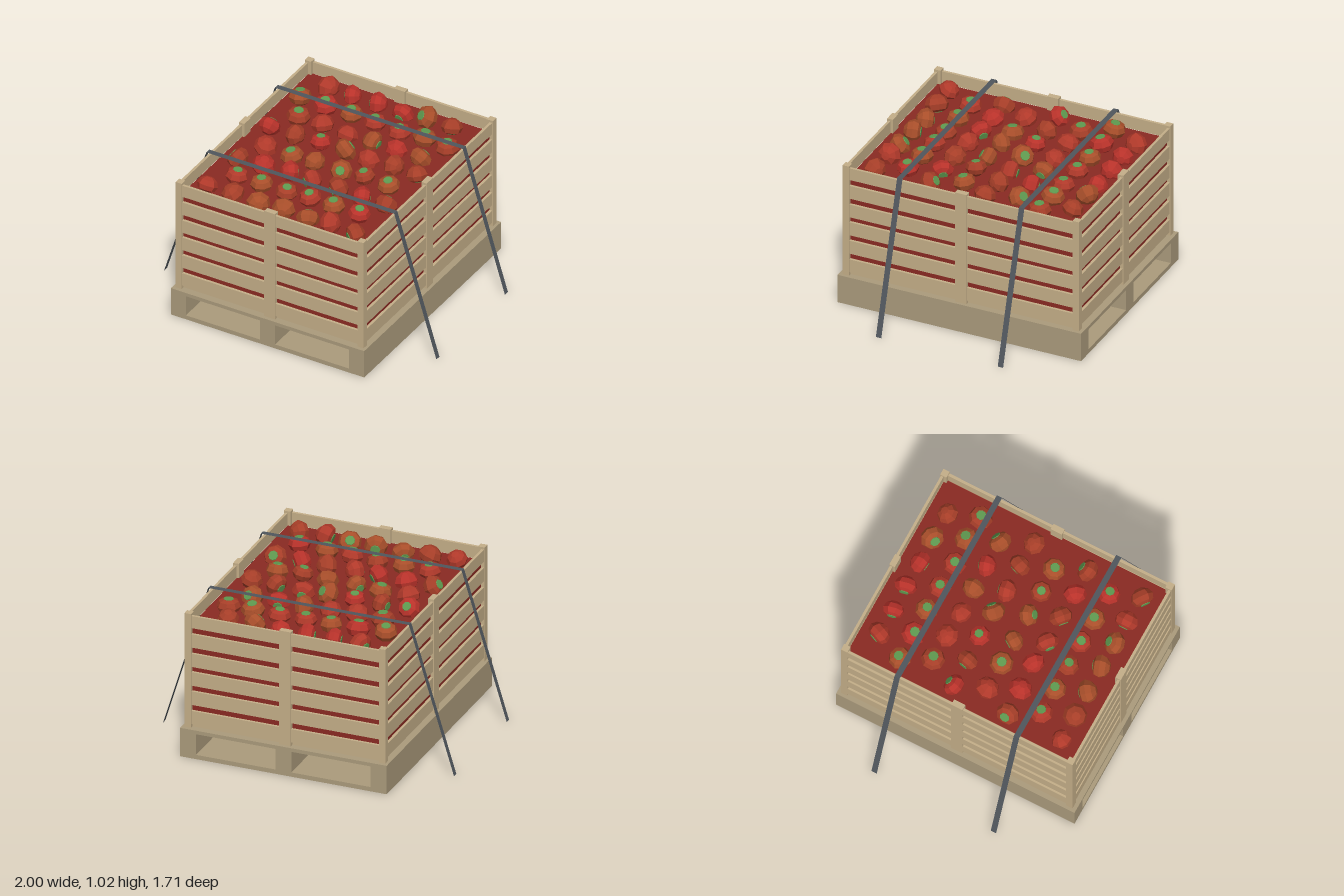
import * as THREE from 'three';

const mat = (color, extra = {}) => {
  const m = new THREE.MeshStandardMaterial({ color, ...extra });
  return m;
};
const wood = mat(0xc4ae88);
const palletWood = mat(0xab9b7c);
const fillRed = mat(0x8a2a22);
const green = mat(0x5f9a50, { flatShading: true });
const strapGrey = mat(0x50565c, { side: THREE.DoubleSide });
const skins = [0xb0392a, 0xb8322a, 0xa63e28, 0xa84e2a].map(c => mat(c, { flatShading: true }));

const HX = 0.69, HZ = 0.83; // outer half sizes of the crate

function box(parent, name, material, w, h, d, x, y, z) {
  const mesh = new THREE.Mesh(new THREE.BoxGeometry(w, h, d), material);
  mesh.position.set(x, y, z);
  mesh.name = name;
  parent.add(mesh);
  return mesh;
}

function rect(path, x0, y0, x1, y1) {
  path.moveTo(x0, y0);
  path.lineTo(x1, y0);
  path.lineTo(x1, y1);
  path.lineTo(x0, y1);
  path.closePath();
  return path;
}

// Pallet: solid base with two fork tunnels running front to back
function makePallet() {
  const shape = rect(new THREE.Shape(), -0.71, 0, 0.71, 0.2);
  shape.holes.push(rect(new THREE.Path(), -0.6, 0.03, -0.055, 0.175));
  shape.holes.push(rect(new THREE.Path(), 0.055, 0.03, 0.6, 0.175));
  const geo = new THREE.ExtrudeGeometry(shape, { depth: 1.71, bevelEnabled: false });
  geo.translate(0, 0, -0.855);
  const mesh = new THREE.Mesh(geo, palletWood);
  mesh.name = 'pallet';
  return mesh;
}

// Crate: posts, slatted walls and a floor
function makeCrate() {
  const crate = new THREE.Group();
  crate.name = 'crate';
  const slats = [[0.225, 0.318], [0.36, 0.455], [0.495, 0.59], [0.627, 0.72], [0.763, 0.857], [0.9, 0.985]];
  for (const s of [-1, 1]) {
    for (const [y0, y1] of slats) {
      const y = (y0 + y1) / 2, h = y1 - y0;
      box(crate, 'endSlat', wood, 2 * HX - 0.02, h, 0.018, 0, y, s * (HZ - 0.014));
      box(crate, 'sideSlat', wood, 0.018, h, 2 * HZ - 0.02, s * (HX - 0.014), y, 0);
    }
    for (const t of [-1, 1])
      box(crate, 'cornerPost', wood, 0.045, 0.8, 0.045, s * (HX - 0.0225), 0.6, t * (HZ - 0.0225));
    box(crate, 'endPost', wood, 0.08, 0.8, 0.04, 0, 0.6, s * (HZ - 0.02));
    box(crate, 'sidePost', wood, 0.04, 0.8, 0.08, s * (HX - 0.02), 0.6, 0);
  }
  box(crate, 'crateFloor', wood, 1.33, 0.025, 1.61, 0, 0.2125, 0);
  return crate;
}

// Fruit: squat eight-sided body with a green cap set on its upper end
const v = (x, y) => new THREE.Vector2(x, y);
const bodyGeo = new THREE.LatheGeometry(
  [v(0, -0.054), v(0.026, -0.052), v(0.058, -0.03), v(0.073, 0.004), v(0.06, 0.036), v(0.034, 0.048), v(0, 0.048)], 8);
const capGeo = new THREE.CylinderGeometry(0.029, 0.032, 0.006, 8);

function makeFruit(skin) {
  const fruit = new THREE.Group();
  fruit.name = 'fruit';
  const body = new THREE.Mesh(bodyGeo, skin);
  body.name = 'fruitBody';
  const cap = new THREE.Mesh(capGeo, green);
  cap.name = 'fruitCap';
  cap.position.y = 0.049;
  fruit.add(body, cap);
  return fruit;
}

// Contents: a solid fill topped by staggered rows of fruit
function makeContents() {
  const contents = new THREE.Group();
  contents.name = 'contents';
  box(contents, 'fill', fillRed, 1.33, 0.675, 1.61, 0, 0.5625, 0);
  let seed = 11;
  const rnd = () => (seed = (seed * 16807) % 2147483647) / 2147483647;
  // u upright, t tilted, s lying on its side, d upside down
  const rows = ['sssstd', 'uuuuuuu', 'uddsst', 'tsutssd', 'dustuu', 'tdsssst', 'uuuuuu', 'ddsstss'];
  const tilts = { u: 0.12, t: 1.0, s: 1.75, d: 2.7 };
  rows.forEach((row, r) => {
    [...row].forEach((kind, i) => {
      const fruit = makeFruit(skins[Math.floor(rnd() * skins.length)]);
      const tilt = tilts[kind] + (rnd() - 0.5) * 0.25;
      const turn = rnd() * Math.PI * 2;
      const axis = new THREE.Vector3(Math.cos(turn), 0, Math.sin(turn));
      fruit.quaternion.setFromAxisAngle(axis, tilt);
      fruit.rotateY(rnd() * Math.PI);
      fruit.scale.setScalar(0.95 + rnd() * 0.15);
      fruit.position.set(
        (i - (row.length - 1) / 2) * 0.18 + (rnd() - 0.5) * 0.015,
        0.915 + rnd() * 0.03,
        -0.68 + r * 0.193 + (rnd() - 0.5) * 0.015);
      contents.add(fruit);
    });
  });
  return contents;
}

// Strap: flat ribbon over the crate, slanting outward to the ground
function makeStrap(z) {
  const path = [[-1, 0], [-HX, 1.005], [HX, 1.005], [1, 0]];
  const strap = new THREE.Group();
  strap.name = 'strap';
  for (let i = 0; i < 3; i++) {
    const [x0, y0] = path[i], [x1, y1] = path[i + 1];
    const geo = new THREE.PlaneGeometry(Math.hypot(x1 - x0, y1 - y0), 0.038);
    geo.rotateX(-Math.PI / 2);
    const mesh = new THREE.Mesh(geo, strapGrey);
    mesh.name = i === 1 ? 'strapTop' : 'strapSide';
    mesh.position.set((x0 + x1) / 2, (y0 + y1) / 2, z);
    mesh.rotation.z = Math.atan2(y1 - y0, x1 - x0);
    strap.add(mesh);
  }
  return strap;
}

export function createModel() {
  const model = new THREE.Group();
  model.name = 'fruitCrateOnPallet';
  model.add(makePallet(), makeCrate(), makeContents(), makeStrap(-0.428), makeStrap(0.428));
  return model;
}
